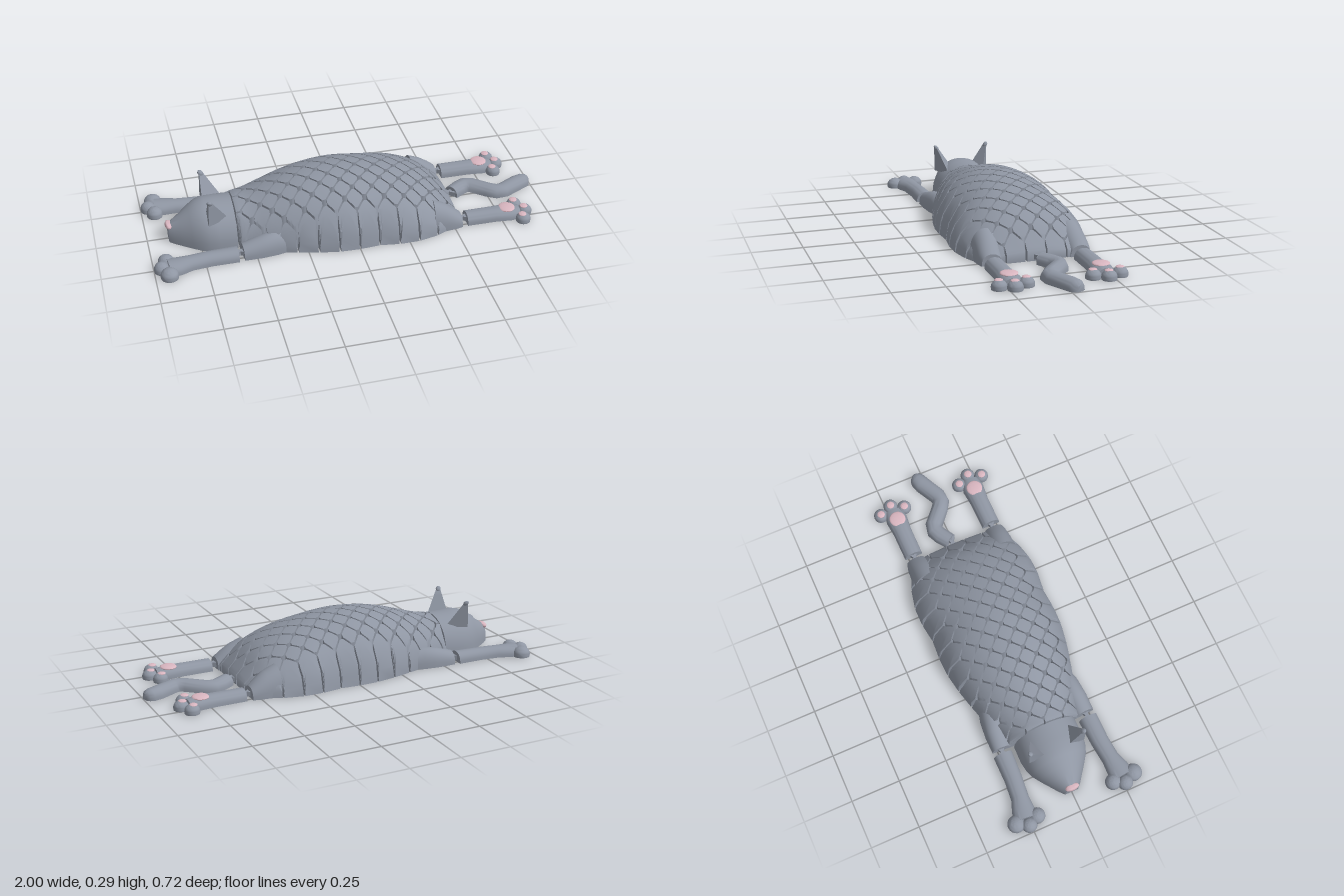
import * as THREE from 'three';
import { mergeGeometries, toCreasedNormals } from 'three/addons/utils/BufferGeometryUtils.js';

const grey = new THREE.MeshStandardMaterial({ color: 0x8f96a3 });
grey.name = 'fur grey';
const pink = new THREE.MeshStandardMaterial({ color: 0xd9b6c0 });
pink.name = 'pad pink';

function part(name, geometry, material = grey, crease = 0.7) {
  const mesh = new THREE.Mesh(toCreasedNormals(geometry, crease), material);
  mesh.name = name;
  return mesh;
}

function fromTriangles(pos, idx) {
  const g = new THREE.BufferGeometry();
  g.setAttribute('position', new THREE.Float32BufferAttribute(pos, 3));
  g.setIndex(idx);
  return g;
}

// Flat-bottomed dome swept along ground stations [x, z, halfWidth, height]
function domeSweep(stations, power = 0.75, M = 16) {
  const pos = [], idx = [], n = stations.length, R = M + 1;
  stations.forEach(([x, z, w, h], i) => {
    const p = stations[Math.max(0, i - 1)], q = stations[Math.min(n - 1, i + 1)];
    const len = Math.hypot(q[0] - p[0], q[1] - p[1]);
    const tx = (q[0] - p[0]) / len, tz = (q[1] - p[1]) / len;
    for (let j = 0; j <= M; j++) {
      const a = Math.PI * j / M, c = Math.cos(a) * w;
      pos.push(x - tz * c, h * Math.pow(Math.max(0, Math.sin(a)), power), z + tx * c);
    }
  });
  for (let i = 0; i < n - 1; i++) for (let j = 0; j <= M; j++) {
    const k = (j + 1) % R, A = i * R + j, B = A + R, C = i * R + k, D = C + R;
    idx.push(A, B, C, B, D, C);
  }
  const last = (n - 1) * R;
  for (let j = 1; j < M; j++) {
    idx.push(0, j, j + 1);
    idx.push(last, last + j + 1, last + j);
  }
  return fromTriangles(pos, idx);
}

// Round pad with a flat base
function pebble(x, z, r, h, y = 0) {
  const pts = [new THREE.Vector2(0, 0), new THREE.Vector2(r * 0.97, 0)];
  for (let i = 0; i <= 8; i++) {
    const a = Math.PI / 2 * i / 8;
    pts.push(new THREE.Vector2(Math.max(0, r * Math.cos(a)), h * (0.25 + 0.75 * Math.sin(a))));
  }
  return new THREE.LatheGeometry(pts, 20).translate(x, y, z);
}

// Body silhouette: half width and ridge height along x
const curve = (xs, v) => {
  const c = new THREE.CubicInterpolant(xs, v, 1);
  return x => c.evaluate(x)[0];
};
const stationsX = [-0.6, -0.5, -0.4, -0.3, -0.2, -0.05, 0.1, 0.25, 0.35, 0.43, 0.5, 0.55];
const halfWidth = curve(stationsX, [0.185, 0.21, 0.245, 0.275, 0.3, 0.322, 0.315, 0.332, 0.318, 0.295, 0.26, 0.225]);
const ridge = curve(stationsX, [0.188, 0.2, 0.23, 0.26, 0.28, 0.29, 0.277, 0.242, 0.205, 0.158, 0.09, 0.035]);
const X0 = -0.568, X1 = 0.535;
const bodyY = (x, z) => ridge(x) * Math.sqrt(Math.max(0, 1 - (z / halfWidth(x)) ** 2));

// Keep the part of a polygon where f >= 0
function clip(poly, f) {
  const out = [];
  poly.forEach((p, i) => {
    const q = poly[(i + 1) % poly.length], a = f(p), b = f(q);
    if (a >= 0) out.push(p);
    if ((a >= 0) !== (b >= 0)) {
      const t = a / (a - b);
      out.push([p[0] + (q[0] - p[0]) * t, p[1] + (q[1] - p[1]) * t]);
    }
  });
  return out;
}

const A = 0.05, I0 = -11, I1 = 10, J = 5;

// One diamond scale with cut corners; the border scales run out to the rim
function tile(i, j) {
  const e = A - 0.0125, q = 0.0075, s = A - 0.004, far = 0.2;
  let c = [[q, e], [e, q], [e, -q], [q, -e], [-q, -e], [-e, -q], [-e, q], [-q, e]];
  if (j === J) { c[0] = [s, far]; c[7] = [-s, far]; c[1] = [s, 0]; c[6] = [-s, 0]; }
  if (j === -J) { c[3] = [s, -far]; c[4] = [-s, -far]; c[2] = [s, 0]; c[5] = [-s, 0]; }
  if (i === I1) { c[1] = [far, s]; c[2] = [far, -s]; c[0] = [0, s]; c[3] = [0, -s]; }
  if (i === I0) { c[5] = [-far, -s]; c[6] = [-far, s]; c[4] = [0, -s]; c[7] = [0, s]; }
  let poly = [];
  c.forEach((p, k) => {
    const n = c[(k + 1) % 8];
    for (let t = 0; t < 4; t++) poly.push([i * A + p[0] + (n[0] - p[0]) * t / 4, j * A + p[1] + (n[1] - p[1]) * t / 4]);
  });
  poly = clip(clip(poly, p => p[0] - X0), p => X1 - p[0]);
  poly = clip(clip(poly, p => halfWidth(p[0]) - p[1]), p => halfWidth(p[0]) + p[1]);
  const n = poly.length;
  if (n < 4) return null;
  let area = 0, cx = 0, cz = 0;
  poly.forEach((p, k) => {
    const r = poly[(k + 1) % n];
    area += (p[1] * r[0] - p[0] * r[1]) / 2;
    cx += p[0] / n;
    cz += p[1] / n;
  });
  if (area < 0.0003) return null;
  const pos = [cx, bodyY(cx, cz), cz], idx = [], rings = 4;
  for (let r = 1; r <= rings; r++) {
    const t = 1 - (1 - r / rings) ** 1.7;
    for (const p of poly) {
      const x = cx + (p[0] - cx) * t, z = cz + (p[1] - cz) * t;
      pos.push(x, bodyY(x, z), z);
    }
  }
  for (const p of poly) pos.push(p[0], 0, p[1]);
  pos.push(cx, 0, cz);
  const under = 1 + rings * n, centre = under + n;
  for (let k = 0; k < n; k++) {
    const m = (k + 1) % n;
    idx.push(0, 1 + k, 1 + m, centre, under + m, under + k);
    for (let r = 0; r < rings; r++) {
      const a = 1 + r * n;
      idx.push(a + k, a + n + k, a + n + m, a + k, a + n + m, a + m);
    }
  }
  return fromTriangles(pos, idx);
}

export function createModel() {
  const model = new THREE.Group();

  // Scaled back and the hinges under its grooves
  const tiles = [], hinges = [];
  for (let i = I0; i <= I1; i++) for (let j = -J; j <= J; j++) {
    if ((i + j) % 2 !== 0) continue;
    const g = tile(i, j);
    if (g) tiles.push(g);
    for (const d of [-1, 1]) {
      const x = (i + 0.5) * A, z = (j + d * 0.5) * A;
      if (i === I1 || Math.abs(j + d) > J || Math.abs(z) > halfWidth(x) - 0.03) continue;
      hinges.push(new THREE.BoxGeometry(0.016, 0.03, 0.04).rotateY(-d * Math.PI / 4).translate(x, 0.017, z));
    }
  }
  model.add(part('backScales', mergeGeometries(tiles), grey, 0.8));
  model.add(part('scaleHinges', mergeGeometries(hinges)));

  // Head and nose
  model.add(part('head', domeSweep([
    [-0.895, 0, 0.035, 0.085], [-0.87, 0, 0.058, 0.102], [-0.83, 0, 0.088, 0.128], [-0.79, 0, 0.118, 0.16],
    [-0.75, 0, 0.145, 0.184], [-0.71, 0, 0.16, 0.193], [-0.66, 0, 0.167, 0.19], [-0.575, 0, 0.165, 0.188],
  ], 0.85, 20)));
  const nose = part('nose', new THREE.SphereGeometry(1, 16, 12).scale(0.018, 0.016, 0.036), pink);
  nose.position.set(-0.89, 0.08, 0);
  model.add(nose);

  // Short crossed links at the limb joints
  const link = (x, z) => part('jointLink', mergeGeometries([-0.6, 0.6].map(a =>
    new THREE.BoxGeometry(0.07, 0.024, 0.012).rotateY(a).translate(x, 0.02, z))));

  for (const s of [-1, 1]) {
    const side = s > 0 ? 'left' : 'right';

    // Ear: three-sided, flat face forward, leaning out
    const ear = new THREE.CylinderGeometry(0.012, 0.07, 0.13, 3, 4, false, Math.PI / 2);
    const tip = new THREE.SphereGeometry(0.014, 10, 8).translate(0, 0.062, 0);
    const earGeo = mergeGeometries([ear, tip]);
    const p = earGeo.attributes.position;
    for (let k = 0; k < p.count; k++) {
      const t = p.getY(k) / 0.13 + 0.5;
      p.setX(k, p.getX(k) - 0.025 * t);
      p.setZ(k, p.getZ(k) * 0.85 + s * 0.045 * t);
    }
    earGeo.translate(-0.675, 0.202, s * 0.095);
    model.add(part(side + 'Ear', earGeo, grey, 0.5));

    // Shoulder and hip sleeves
    model.add(part(side + 'Shoulder', domeSweep([
      [-0.565, s * 0.225, 0.05, 0.06], [-0.48, s * 0.22, 0.056, 0.085], [-0.4, s * 0.21, 0.058, 0.1], [-0.33, s * 0.2, 0.05, 0.08],
    ])));
    model.add(part(side + 'Hip', domeSweep([
      [0.4, s * 0.21, 0.075, 0.14], [0.46, s * 0.215, 0.068, 0.115], [0.51, s * 0.22, 0.058, 0.08], [0.54, s * 0.22, 0.05, 0.055],
    ])));

    // Front leg with three toes
    model.add(part(side + 'FrontLeg', mergeGeometries([
      domeSweep([[-0.93, s * 0.26, 0.06, 0.05], [-0.88, s * 0.255, 0.056, 0.05], [-0.82, s * 0.245, 0.044, 0.05],
        [-0.72, s * 0.235, 0.045, 0.051], [-0.59, s * 0.232, 0.048, 0.052]]),
      ...[[-0.932, 0.315, 0.044], [-0.962, 0.258, 0.038], [-0.935, 0.205, 0.04]].map(([x, z, r]) =>
        pebble(x, s * z, r, 0.05).deleteAttribute('normal').deleteAttribute('uv')),
    ])));
    model.add(link(-0.577, s * 0.23));

    // Hind leg with upturned paw
    const toes = [[0.852, 0.288, 0.037], [0.882, 0.222, 0.037], [0.848, 0.158, 0.037]];
    model.add(part(side + 'HindLeg', mergeGeometries([
      domeSweep([[0.57, s * 0.22, 0.047, 0.051], [0.72, s * 0.22, 0.048, 0.051], [0.8, s * 0.22, 0.056, 0.05],
        [0.85, s * 0.222, 0.045, 0.042]]),
      ...toes.map(([x, z, r]) => pebble(x, s * z, r, 0.045).deleteAttribute('normal').deleteAttribute('uv')),
    ])));
    model.add(part(side + 'PawPad', pebble(0.785, s * 0.22, 0.042, 0.012, 0.043), pink));
    toes.forEach(([x, z]) => model.add(part(side + 'ToePad', pebble(x - 0.006, s * z, 0.02, 0.008, 0.039), pink)));
    model.add(link(0.555, s * 0.22));
  }

  // Bent tail
  model.add(part('tail', domeSweep([
    [0.57, -0.012, 0.04, 0.05], [0.62, -0.045, 0.043, 0.05], [0.655, -0.062, 0.044, 0.05], [0.69, -0.055, 0.044, 0.05],
    [0.765, 0.01, 0.043, 0.05], [0.8, 0.032, 0.044, 0.05], [0.835, 0.03, 0.044, 0.05], [0.93, -0.018, 0.045, 0.05],
    [0.965, -0.03, 0.042, 0.049], [0.985, -0.035, 0.032, 0.043], [0.996, -0.038, 0.014, 0.03],
  ])));
  model.add(link(0.555, -0.008));
  return model;
}
